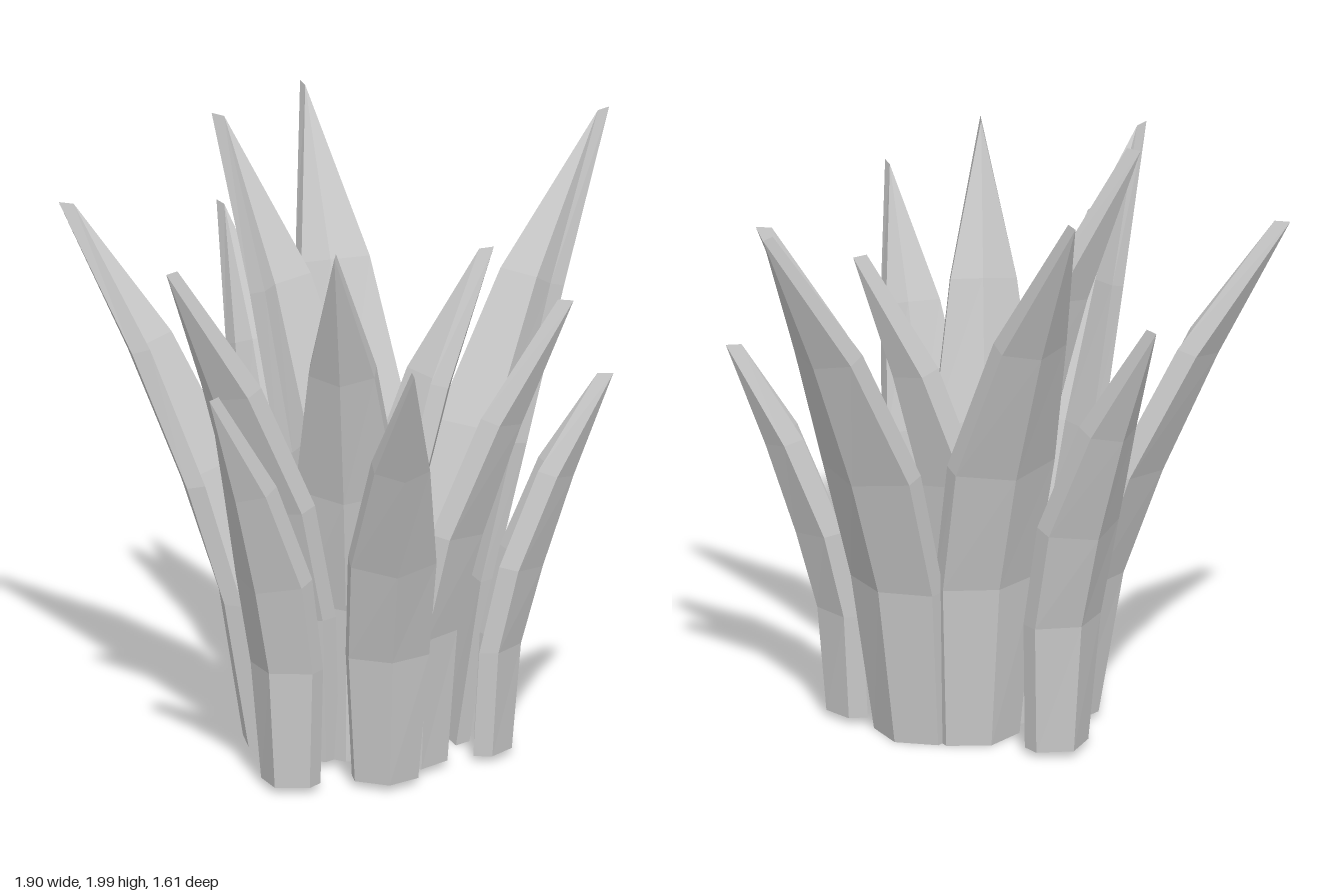
import * as THREE from 'three';

// Each leaf: base x, base z, tip x, tip y, tip z
const LEAVES = [
  [-0.22, -0.17, -0.43, 1.72, -0.81],
  [0.08, -0.28, 0.27, 1.56, -0.73],
  [0.11, -0.01, 0.465, 1.94, -0.55],
  [-0.1, 0.0, -0.1, 2.0, -0.46],
  [-0.28, 0.03, -0.88, 1.76, -0.03],
  [-0.53, 0.17, -0.955, 1.41, 0.2],
  [0.21, 0.21, 0.95, 1.9, 0.3],
  [-0.2, 0.16, -0.55, 1.81, 0.38],
  [-0.03, 0.17, 0.3, 1.62, 0.35],
  [-0.31, 0.4, -0.68, 1.54, 0.8],
  [-0.07, 0.38, 0.13, 1.58, 0.8],
  [0.14, 0.47, 0.37, 1.27, 0.77],
];

// Stations along a leaf: height, bend, width, keel depth, thickness, section slope
const STATIONS = [
  { t: 0.0, bend: 0.0, w: 0.74, keel: 0.06, thick: 0.06, slope: 0 },
  { t: 0.28, bend: 0.02, w: 0.94, keel: 0.07, thick: 0.06, slope: 0 },
  { t: 0.5, bend: 0.18, w: 1.0, keel: 0.075, thick: 0.06, slope: 0.25 },
  { t: 0.74, bend: 0.51, w: 0.65, keel: 0.05, thick: 0.06, slope: 0.35 },
  { t: 1.0, bend: 1.0, w: 0.0, keel: 0.0, thick: 0.05, slope: 0 },
];

// A thick chevron section swept along a path that leans and bends outward
function leafGeometry([bx, bz, tx, ty, tz]) {
  const baseY = ty > 1.85 ? 0.01 : 0.03;
  const height = ty - baseY;
  const reach = Math.hypot(tx - bx, tz - bz);
  const dx = (tx - bx) / reach, dz = (tz - bz) / reach;
  const bendReach = 0.27 * height;
  const leanReach = reach - bendReach;
  const halfWidth = 0.09 * height;

  const positions = [];
  for (const s of STATIONS) {
    const out = leanReach * s.t + bendReach * s.bend;
    const w = halfWidth * s.w;
    const section = [
      [-w, 0], [0, s.keel], [w, 0],
      [w, -s.thick], [0, s.keel - s.thick], [-w, -s.thick],
    ];
    for (const [side, forward] of section) {
      const f = out + forward;
      positions.push(
        bx + dx * f + dz * side,
        baseY + height * s.t - forward * s.slope,
        bz + dz * f - dx * side
      );
    }
  }

  const n = 6, index = [];
  for (let k = 0; k < STATIONS.length - 1; k++) {
    for (let i = 0; i < n; i++) {
      const a = k * n + i, b = k * n + (i + 1) % n;
      index.push(a, b, b + n, a, b + n, a + n);
    }
  }
  // Bottom cap in two halves
  index.push(0, 4, 1, 0, 5, 4, 1, 3, 2, 1, 4, 3);

  const indexed = new THREE.BufferGeometry();
  indexed.setAttribute('position', new THREE.Float32BufferAttribute(positions, 3));
  indexed.setIndex(index);
  const geometry = indexed.toNonIndexed();
  geometry.computeVertexNormals();
  return geometry;
}

export function createModel() {
  const plant = new THREE.Group();
  plant.name = 'plant';
  const material = new THREE.MeshStandardMaterial({ color: 0xcccccc, flatShading: true });
  LEAVES.forEach((leaf, i) => {
    const mesh = new THREE.Mesh(leafGeometry(leaf), material);
    mesh.name = `leaf${i + 1}`;
    plant.add(mesh);
  });
  return plant;
}
